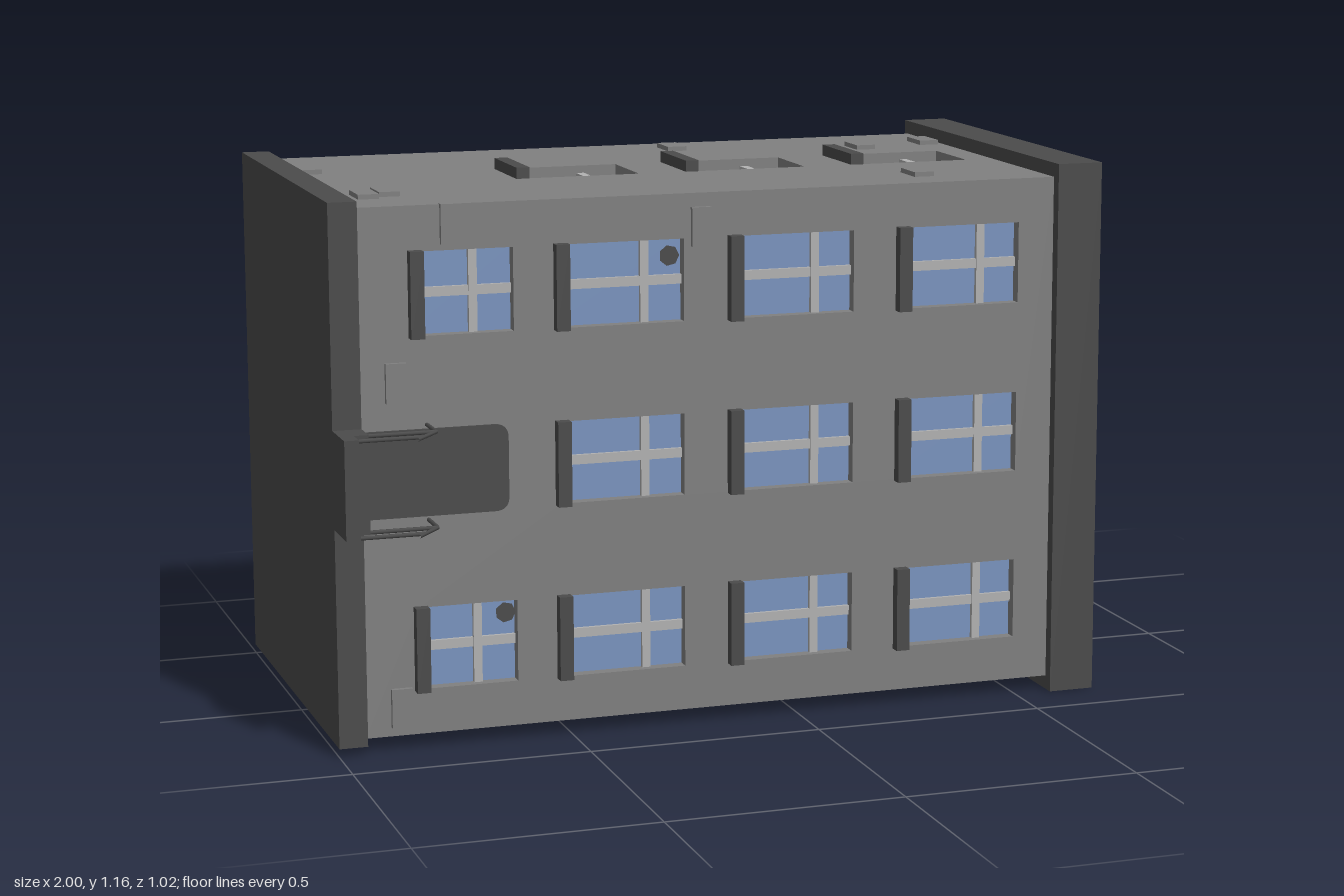
import * as THREE from 'three';

const mat = (name, color, side = THREE.FrontSide) => {
  const m = new THREE.MeshStandardMaterial({ color, side });
  m.name = name;
  return m;
};

export function createModel() {
  const model = new THREE.Group();
  model.name = 'tippedBuilding';
  const wallGrey = mat('wall grey', 0x808080);
  const darkGrey = mat('dark grey', 0x4b4b4b);
  const glassBlue = mat('glass blue', 0x7a94bf);
  const frameGrey = mat('frame grey', 0xb2b2b2);

  const add = (parent, name, geometry, material) => {
    const mesh = new THREE.Mesh(geometry, material);
    mesh.name = name;
    parent.add(mesh);
    return mesh;
  };
  // box from its min and max on each axis
  const box = (parent, name, material, x0, x1, y0, y1, z0, z1) => {
    const mesh = add(parent, name, new THREE.BoxGeometry(x1 - x0, y1 - y0, z1 - z0), material);
    mesh.position.set((x0 + x1) / 2, (y0 + y1) / 2, (z0 + z1) / 2);
    return mesh;
  };
  // round pipe running along x
  const pipeX = (name, x0, x1, y, z, r) => {
    const mesh = add(model, name, new THREE.CylinderGeometry(r, r, x1 - x0, 16), darkGrey);
    mesh.rotation.z = Math.PI / 2;
    mesh.position.set((x0 + x1) / 2, y, z);
  };
  const rectPath = (p, x0, x1, y0, y1) => {
    p.moveTo(x0, y0);
    p.lineTo(x1, y0);
    p.lineTo(x1, y1);
    p.lineTo(x0, y1);
    p.closePath();
    return p;
  };
  const slab = (shape, depth) => new THREE.ExtrudeGeometry(shape, { depth, bevelEnabled: false });

  const X0 = -0.94, X1 = 0.58, DEPTH = 0.03;

  // wall with recessed windows and loose bricks; outer face at local z = 0
  const wall = (name, v0, v1, windows, bricks) => {
    const g = new THREE.Group();
    g.name = name;
    const shape = rectPath(new THREE.Shape(), X0, X1, v0, v1);
    windows.forEach(([u, v, w, h]) =>
      shape.holes.push(rectPath(new THREE.Path(), u + 0.01, u + w, v, v + h)));
    add(g, 'wallPanel', slab(shape, DEPTH), wallGrey).position.z = -DEPTH;
    windows.forEach(([u, v, w, h]) => {
      const bar = u + w - 0.09, mid = v + h / 2;
      box(g, 'windowGlass', glassBlue, u, u + w, v, v + h, -DEPTH, -DEPTH + 0.004);
      box(g, 'windowBarAcross', frameGrey, u, u + w, mid - 0.01, mid + 0.01, -DEPTH, -0.018);
      box(g, 'windowBarUpright', frameGrey, bar, bar + 0.018, v, v + h, -DEPTH, -0.016);
      box(g, 'windowSill', darkGrey, u, u + 0.029, v - 0.003, v + h + 0.003, -DEPTH, 0.024);
    });
    bricks.forEach(([u, v]) =>
      box(g, 'looseBrick', wallGrey, u - 0.022, u + 0.022, v - 0.041, v + 0.041, -0.01, 0.01));
    model.add(g);
    return g;
  };

  // solid core behind the walls
  box(model, 'buildingCore', wallGrey, X0, X1, 0.06, 1.10, -0.49, 0.33);

  // front wall, with the entrance taking the place of one window
  const frontWindows = [];
  [-0.835, -0.53, -0.155, 0.22].forEach((u, col) => {
    [0.125, 0.495, 0.863].forEach((v, row) => {
      if (col || row !== 1) frontWindows.push([u, v, col ? 0.28 : 0.22, 0.173]);
    });
  });
  const front = wall('frontWall', 0.03, 1.13, frontWindows,
    [[-0.745, 1.09], [-0.213, 1.06], [-0.864, 0.77], [-0.864, 0.09]]);
  front.position.z = 0.36;

  // broken panes
  [[-0.278, 1.0], [-0.637, 0.27]].forEach(([x, y]) => {
    const hole = add(front, 'brokenPane', new THREE.CircleGeometry(0.022, 7), darkGrey);
    hole.position.set(x, y, -0.014);
  });

  // side walls, facing up and down
  const sideWindows = (v) => [-0.515, -0.137, 0.243].map((u) => [u, v, 0.273, 0.175]);
  const sideBricks = [[-0.04, -0.38], [0.375, -0.27], [0.545, -0.31], [-0.91, -0.23],
    [-0.885, 0.2], [-0.835, 0.175], [0.32, 0.225]];
  const upper = wall('upperWall', -0.33, 0.49, sideWindows(-0.022),
    sideBricks.map(([x, z]) => [x, -z]));
  upper.rotation.x = -Math.PI / 2;
  upper.position.y = 1.13;
  const lower = wall('lowerWall', -0.49, 0.33, sideWindows(-0.153), sideBricks);
  lower.rotation.x = Math.PI / 2;
  lower.position.y = 0.03;

  // foundation slab and entrance steps
  box(model, 'foundation', darkGrey, -1, X0, 0.018, 1.145, -0.508, 0.378);
  box(model, 'lowerStep', darkGrey, -1, -0.97, 0.478, 0.683, 0.37, 0.488);
  box(model, 'upperStep', darkGrey, -0.97, X0, 0.478, 0.683, 0.37, 0.442);

  // entrance door, rounded at the far end
  const door = new THREE.Shape();
  door.moveTo(X0, 0.49);
  door.lineTo(-0.66, 0.49);
  door.quadraticCurveTo(-0.63, 0.49, -0.63, 0.52);
  door.lineTo(-0.63, 0.642);
  door.quadraticCurveTo(-0.63, 0.672, -0.66, 0.672);
  door.lineTo(X0, 0.672);
  add(model, 'entranceDoor', slab(door, 0.006), darkGrey).position.z = 0.358;

  // handrails on both sides of the steps
  [0.482, 0.68].forEach((y) => {
    [[[-0.8, 0.36], [-0.8, 0.437]], [[-0.8, 0.437], [-0.855, 0.505]],
      [[X0, 0.437], [-0.8, 0.437]], [[-0.97, 0.482], [-0.837, 0.482]]].forEach(([a, b]) => {
      const path = new THREE.LineCurve3(
        new THREE.Vector3(a[0], y, a[1]), new THREE.Vector3(b[0], y, b[1]));
      add(model, 'handrail', new THREE.TubeGeometry(path, 1, 0.0045, 6), darkGrey);
    });
  });

  // roof slab with a raised parapet; shape drawn in (-z, y) and turned to face +x
  const parapet = rectPath(new THREE.Shape(), -0.385, 0.51, 0, 1.16);
  parapet.holes.push(rectPath(new THREE.Path(), -0.345, 0.465, 0.055, 1.103));
  const rim = add(model, 'parapet', slab(parapet, 0.1), darkGrey);
  rim.rotation.y = Math.PI / 2;
  rim.position.x = X1;
  box(model, 'roofDeck', darkGrey, X1, 0.645, 0.05, 1.11, -0.47, 0.35);

  // roof hut with hatch, outlet and bent pipe
  box(model, 'roofHut', darkGrey, 0.64, 0.93, 0.058, 0.402, -0.465, -0.198);
  box(model, 'hutDoor', darkGrey, 0.65, 0.86, 0.16, 0.30, -0.2, -0.194);
  pipeX('hutOutlet', 0.92, 1.0, 0.094, -0.424, 0.015);
  const bend = new THREE.CatmullRomCurve3([[0.64, 0.436], [0.7, 0.436], [0.77, 0.436],
    [0.805, 0.428], [0.819, 0.405], [0.82, 0.37]].map(([x, y]) => new THREE.Vector3(x, y, -0.404)));
  add(model, 'bentPipe', new THREE.TubeGeometry(bend, 24, 0.017, 12), darkGrey);

  // ventilation block with two flues
  box(model, 'ventBlock', darkGrey, 0.64, 0.73, 0.745, 1.06, -0.42, -0.226);
  [0.828, 0.977].forEach((y) => {
    box(model, 'flueBase', darkGrey, 0.72, 0.767, y - 0.038, y + 0.038, -0.36, -0.287);
    pipeX('flue', 0.76, 0.812, y, -0.323, 0.016);
  });

  return model;
}
